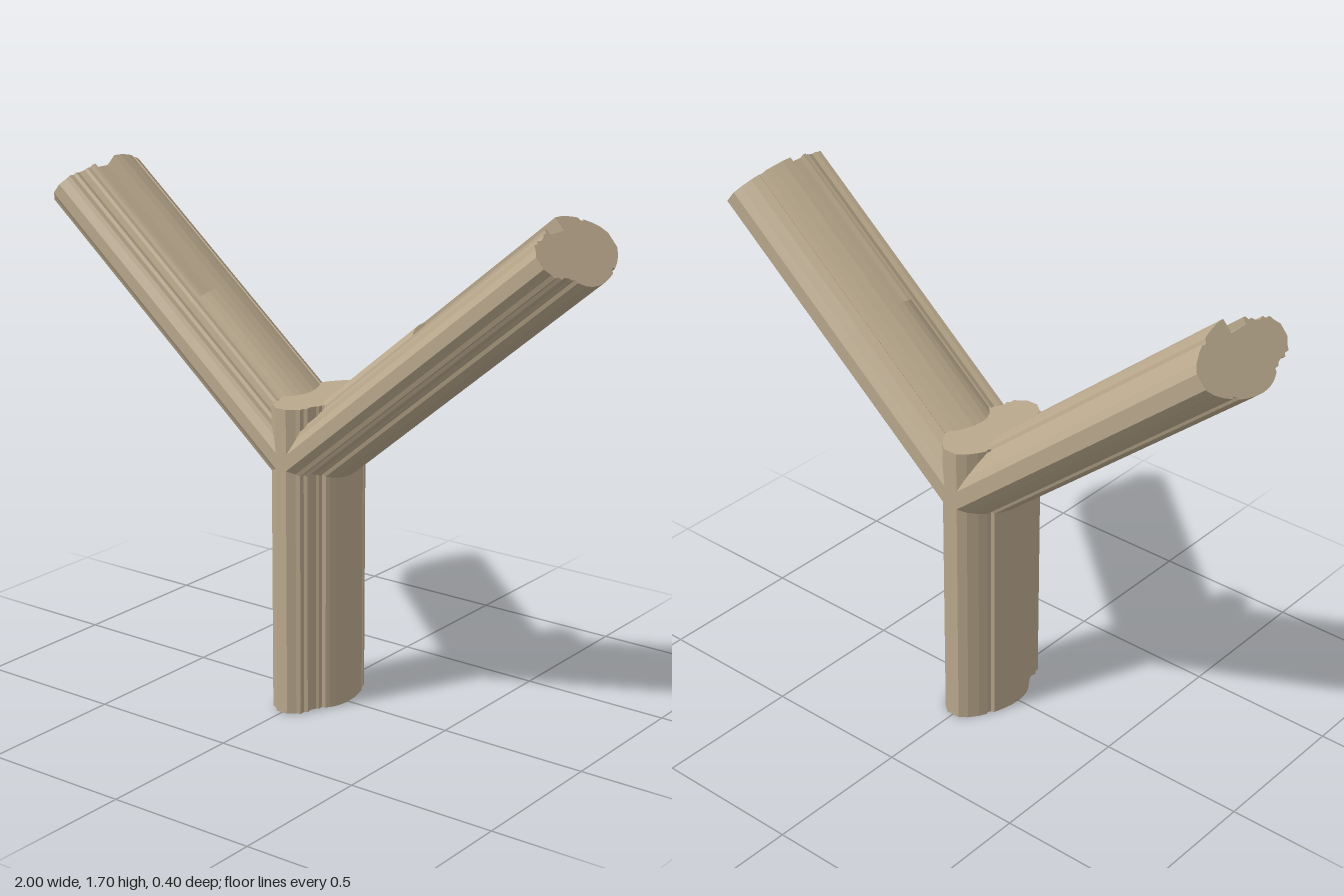
import * as THREE from 'three';

// Log profile: [z, half thickness], from the back edge to the front edge
const BACK = [
  [-0.2, 0.025], [-0.18, 0.05], [-0.15, 0.072], [-0.123, 0.086], [-0.118, 0.081],
  [-0.106, 0.086], [-0.102, 0.097], [-0.075, 0.106], [-0.035, 0.115], [0, 0.1175],
];
const FRONT = [
  [0.03, 0.115], [0.055, 0.108], [0.074, 0.098], [0.086, 0.09], [0.09, 0.078],
  [0.105, 0.078], [0.112, 0.07], [0.132, 0.062], [0.15, 0.066], [0.156, 0.056],
  [0.175, 0.056], [0.181, 0.043], [0.2, 0.02],
];
const PLAIN = [...BACK, ...FRONT];
// Flat-bottomed slot just in front of the crest
const SLOTTED = [...BACK, [0.001, 0.071], [0.072, 0.071], [0.074, 0.092], ...FRONT.slice(3)];

// Extrudes a profile upward from y0 to y1; each side of x has its own outline
function log(plusX, minusX, y0, y1) {
  const pts = [
    ...plusX.map(([z, h]) => new THREE.Vector2(h, -z)),
    ...[...minusX].reverse().map(([z, h]) => new THREE.Vector2(-h, -z)),
  ];
  const geo = new THREE.ExtrudeGeometry(new THREE.Shape(pts), { depth: y1 - y0, bevelEnabled: false });
  return geo.rotateX(-Math.PI / 2).translate(0, y0, 0);
}

export function createModel() {
  const wood = new THREE.MeshStandardMaterial({ color: 0xb9a88c });
  wood.name = 'weathered wood';
  const model = new THREE.Group();
  model.name = 'forkedPost';

  const add = (parent, name, geo) => {
    const mesh = new THREE.Mesh(geo, wood);
    mesh.name = name;
    parent.add(mesh);
  };

  add(model, 'post', log(PLAIN, PLAIN, 0, 1.02));

  // Two arms rising 40 degrees from the post, slotted on their upper side
  for (const side of [1, -1]) {
    const arm = new THREE.Group();
    arm.name = side > 0 ? 'leftArm' : 'rightArm';
    arm.position.y = 0.83;
    arm.rotation.z = -side * THREE.MathUtils.degToRad(50);
    add(arm, 'innerArm', log(PLAIN, PLAIN, 0, 0.617));
    add(arm, 'slottedArmEnd', side > 0
      ? log(PLAIN, SLOTTED, 0.617, 1.206)
      : log(SLOTTED, PLAIN, 0.617, 1.206));
    model.add(arm);
  }
  return model;
}
